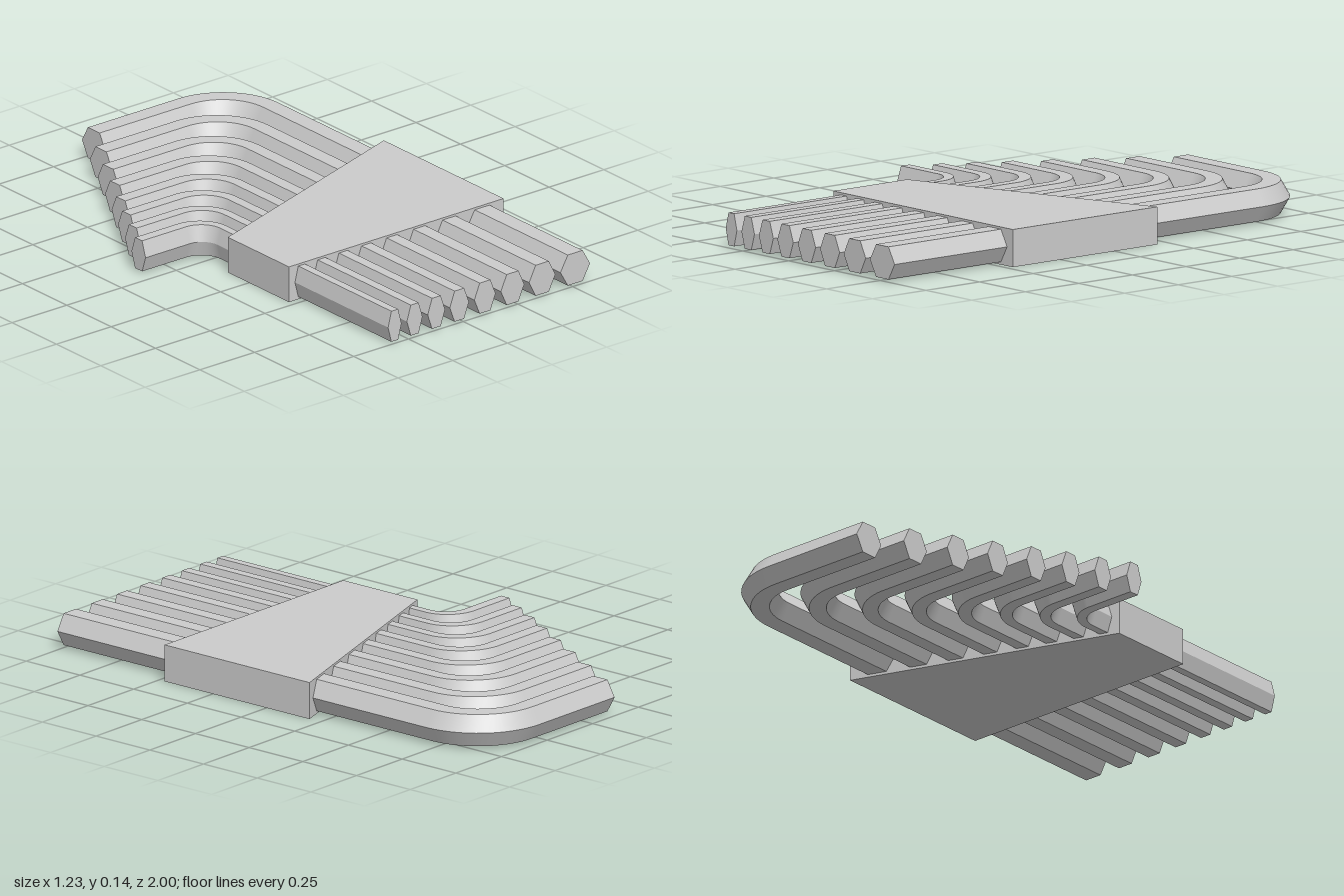
import * as THREE from 'three';

const material = new THREE.MeshStandardMaterial({ color: 0xcccccc });
const Y0 = 0.01, HEIGHT = 0.118, BEND_STEPS = 14;
// hexagon as [inner-to-outer fraction, height fraction]
const HEX = [[1, 0.5], [0.75, 1], [0.25, 1], [0, 0.5], [0.25, 0], [0.75, 0]];

// per key: shaft inner x, shaft outer x, arm outer z, arm tip x
const KEYS = [
  [-0.343, -0.282, -0.11, -0.615],
  [-0.257, -0.186, -0.217, -0.558],
  [-0.162, -0.083, -0.328, -0.5],
  [-0.061, 0.026, -0.444, -0.435],
  [0.051, 0.148, -0.571, -0.362],
  [0.172, 0.279, -0.704, -0.288],
  [0.301, 0.421, -0.847, -0.208],
  [0.444, 0.579, -1.0, -0.12],
];

// hexagonal bar swept along a shaft, a quarter bend and an arm
function keyGeometry([xIn, xOut, zOut, xTip], i) {
  const shaftW = xOut - xIn;
  const armW = 0.079 + (0.053 * i) / 7;
  const bendR = 0.07 + (0.08 * i) / 7;
  const cx = xIn - bendR, cz = zOut + armW + bendR;

  const rings = [];
  const addRing = (angle, dx, dz) => {
    const w = THREE.MathUtils.lerp(shaftW, armW, angle / (Math.PI / 2));
    rings.push(HEX.map(([f, h]) => {
      const r = bendR + f * w;
      return [cx + Math.cos(angle) * r + dx, Y0 + h * HEIGHT, cz - Math.sin(angle) * r + dz];
    }));
  };
  addRing(0, 0, 1 - cz);
  for (let s = 0; s <= BEND_STEPS; s++) addRing((s / BEND_STEPS) * Math.PI / 2, 0, 0);
  addRing(Math.PI / 2, xTip - cx, 0);

  const pos = [], index = [];
  // each side is its own strip: smooth along the bend, sharp between sides
  for (let j = 0; j < 6; j++) {
    const base = pos.length / 3;
    rings.forEach((ring) => pos.push(...ring[j], ...ring[(j + 1) % 6]));
    for (let k = 0; k < rings.length - 1; k++) {
      const a = base + 2 * k;
      index.push(a, a + 2, a + 3, a, a + 3, a + 1);
    }
  }
  // flat end caps
  [rings[0], rings[rings.length - 1]].forEach((ring, end) => {
    const base = pos.length / 3;
    ring.forEach((p) => pos.push(...p));
    for (let j = 1; j < 5; j++) {
      index.push(base, base + j + (end ? 1 : 0), base + j + (end ? 0 : 1));
    }
  });

  const geo = new THREE.BufferGeometry();
  geo.setAttribute('position', new THREE.Float32BufferAttribute(pos, 3));
  geo.setIndex(index);
  geo.computeVertexNormals();
  return geo;
}

export function createModel() {
  const group = new THREE.Group();
  group.name = 'hexKeySet';

  // slanted block holding the keys
  const outline = new THREE.Shape([
    new THREE.Vector2(-0.37, -0.475),
    new THREE.Vector2(0.61, -0.475),
    new THREE.Vector2(0.61, 0.2),
    new THREE.Vector2(-0.37, -0.13),
  ]);
  const holderGeo = new THREE.ExtrudeGeometry(outline, { depth: 0.136, bevelEnabled: false });
  holderGeo.rotateX(-Math.PI / 2);
  const holder = new THREE.Mesh(holderGeo, material);
  holder.name = 'holder';
  group.add(holder);

  // keys from smallest to largest
  KEYS.forEach((key, i) => {
    const mesh = new THREE.Mesh(keyGeometry(key, i), material);
    mesh.name = `hexKey${i + 1}`;
    group.add(mesh);
  });

  return group;
}
